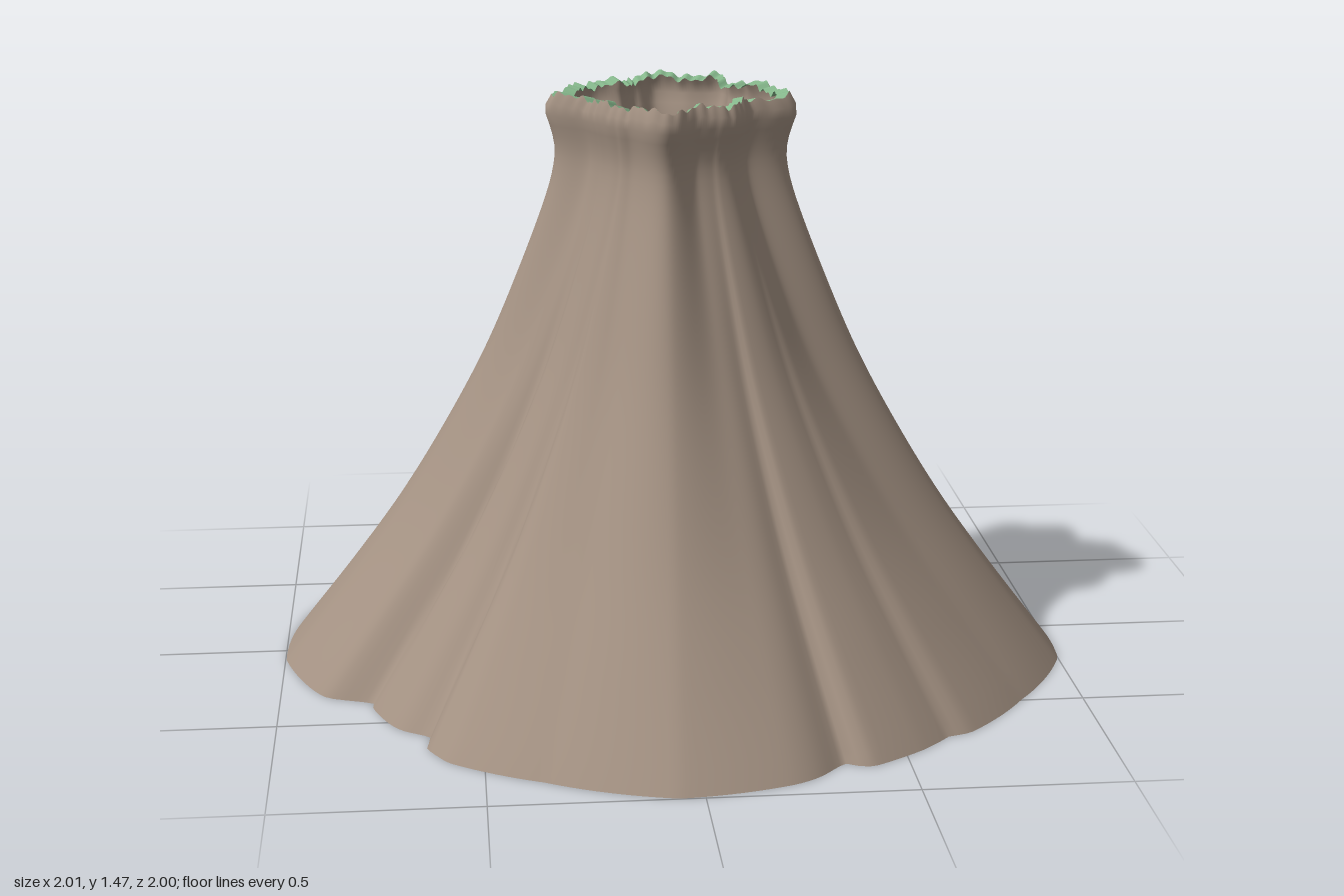
import * as THREE from 'three';

const SEGMENTS = 288;
const ROWS = 56;
const TOP = 1.46;

// Silhouette: [height, radius]
const profile = [[0, 1], [0.2, 0.85], [0.4, 0.71], [0.6, 0.59], [0.8, 0.485], [1, 0.4],
  [1.2, 0.325], [1.3, 0.302], [1.36, 0.308], [1.41, 0.325], [1.44, 0.322], [1.46, 0.308]];

// Outline of the hem: [angle in degrees from +x towards +z, radius]
const hem = [[13, 1.026], [30.5, 0.98], [45.6, 0.965], [48.7, 0.94], [55, 0.95], [64.2, 0.955],
  [67.6, 0.94], [77, 0.97], [93.4, 1], [112.5, 0.955], [128, 0.953], [135.7, 0.91], [152, 0.87],
  [159.4, 0.95], [176.3, 1], [193.7, 0.99], [212.8, 0.95], [227.4, 0.975], [239.5, 0.957],
  [242.5, 0.975], [258.4, 0.99], [271.8, 1], [280, 0.975], [288, 1.01], [313.6, 0.995],
  [328, 0.955], [348.5, 1.0], [352, 0.99]];

// Scalloped outline of the neck
const neck = [[12, 0.325], [33, 0.235], [57, 0.26], [76, 0.25], [96, 0.305], [119, 0.25],
  [143, 0.235], [157, 0.23], [184, 0.305], [199, 0.275], [228, 0.27], [243, 0.225], [260, 0.295],
  [270, 0.325], [285, 0.31], [300, 0.325], [315, 0.255], [326, 0.265], [339, 0.3]];

// Folds: [angle at hem, angle at neck, depth]
const folds = [[67.6, 66, 0.03], [136, 126, 0.04], [154, 145, 0.035], [212, 216, 0.02],
  [242, 242, 0.015], [329, 318, 0.025], [351.5, 355, 0.03]];

function sample(table, x, smooth = false) {
  let i = 0;
  while (i < table.length - 2 && x > table[i + 1][0]) i++;
  const [x0, a] = table[i], [x1, b] = table[i + 1];
  let t = THREE.MathUtils.clamp((x - x0) / (x1 - x0), 0, 1);
  if (smooth) t = t * t * (3 - 2 * t);
  return a + (b - a) * t;
}

// Repeat the first and last entries so an outline closes on itself
function closed(table) {
  const first = table[0], last = table[table.length - 1];
  return [[last[0] - 360, last[1]], ...table, [first[0] + 360, first[1]]];
}
const hemLoop = closed(hem), neckLoop = closed(neck);
const silhouette = new THREE.SplineCurve(profile.map(([y, r]) => new THREE.Vector2(y, r)));
const profilePoints = silhouette.getPoints(120).map(p => [p.x, p.y]);

function radiusAt(deg, y) {
  const blend = Math.pow(Math.min(y / 1.3, 1), 1.4);
  const outline = THREE.MathUtils.lerp(sample(hemLoop, deg), sample(neckLoop, deg, true) / 0.325, blend);
  let groove = 0;
  for (const [a, b, depth] of folds) {
    const d = deg - THREE.MathUtils.lerp(a, b, blend);
    // Steep on one side, soft on the other, like an overlapping pleat
    groove += depth * (1 - 0.8 * blend) * Math.exp(-Math.pow(d / (d < 0 ? 1.3 : 4.5), 2));
  }
  return sample(profilePoints, y) * (outline - groove);
}

// Uneven torn edge at the top
function ragged(deg) {
  const a = THREE.MathUtils.degToRad(deg);
  return 0.005 * Math.sin(11 * a) + 0.004 * Math.sin(29 * a + 1) + 0.004 * Math.sin(53 * a + 2);
}

// Closed rings joined into a surface; ring(row, degrees) gives [radius, height]
function ringSurface(rows, ring) {
  const positions = [], index = [];
  for (let j = 0; j <= rows; j++) {
    for (let i = 0; i < SEGMENTS; i++) {
      const deg = i * 360 / SEGMENTS, a = THREE.MathUtils.degToRad(deg);
      const [r, y] = ring(j, deg);
      positions.push(r * Math.cos(a), y, r * Math.sin(a));
      if (j === rows) continue;
      const k = j * SEGMENTS + i, n = j * SEGMENTS + (i + 1) % SEGMENTS;
      index.push(k, k + SEGMENTS, n, n, k + SEGMENTS, n + SEGMENTS);
    }
  }
  const geometry = new THREE.BufferGeometry();
  geometry.setAttribute('position', new THREE.Float32BufferAttribute(positions, 3));
  geometry.setIndex(index);
  geometry.computeVertexNormals();
  return geometry;
}

export function createModel() {
  const group = new THREE.Group();
  group.name = 'flaredPleatedShell';
  const brown = new THREE.MeshStandardMaterial({ color: 0xa39182, side: THREE.DoubleSide });
  brown.name = 'taupe';
  const green = new THREE.MeshStandardMaterial({ color: 0x86b88c, side: THREE.DoubleSide });
  green.name = 'soft green';

  // Flared, pleated wall, open at both ends
  const wall = new THREE.Mesh(ringSurface(ROWS, (j, deg) => {
    const y = TOP * j / ROWS;
    const lift = Math.max(0, (y - 1.4) / 0.06);
    return [radiusAt(deg, y), y + ragged(deg) * lift];
  }), brown);
  wall.name = 'pleatedWall';

  // Narrow lip lining the opening
  const lip = new THREE.Mesh(ringSurface(2, (j, deg) =>
    [radiusAt(deg, TOP) - 0.015 * j, TOP + ragged(deg) - 0.004 * j]), green);
  lip.name = 'rimLip';

  group.add(wall, lip);
  return group;
}
